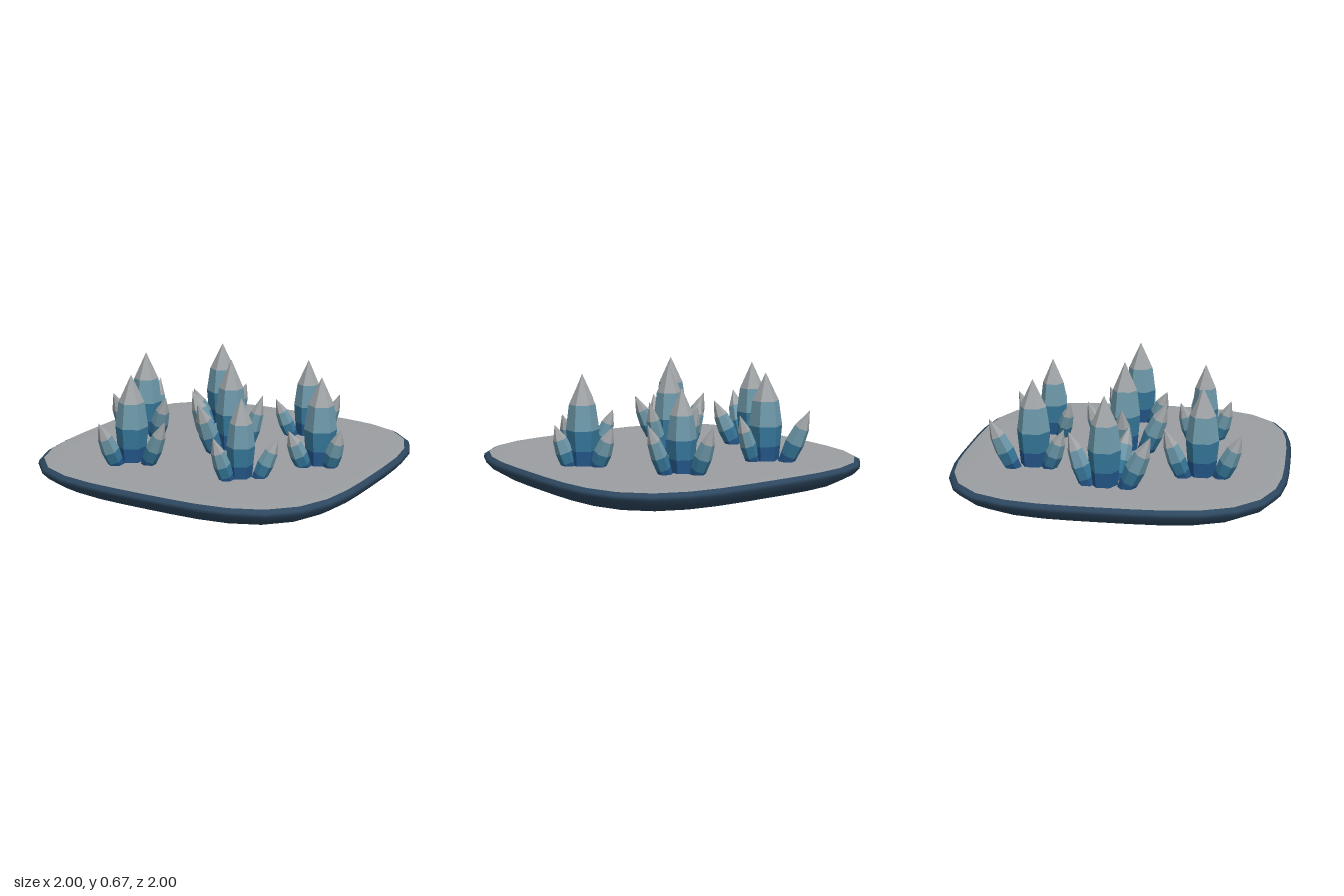
import * as THREE from 'three';
import { mergeVertices } from 'three/addons/utils/BufferGeometryUtils.js';

const v2 = (pts) => pts.map(([x, y]) => new THREE.Vector2(x, y));

// Turned profile pushed out to a rounded-square outline
function slabBand(name, profile, color) {
  let geo = new THREE.LatheGeometry(v2(profile), 36);
  const p = geo.attributes.position, n = 3.5;
  for (let i = 0; i < p.count; i++) {
    const x = p.getX(i), z = p.getZ(i), r = Math.hypot(x, z);
    if (r < 1e-6) continue;
    const k = 1 / Math.pow(Math.abs(x / r) ** n + Math.abs(z / r) ** n, 1 / n);
    p.setX(i, x * k);
    p.setZ(i, z * k);
  }
  geo.deleteAttribute('uv');
  geo.deleteAttribute('normal');
  geo = mergeVertices(geo);
  geo.computeVertexNormals();
  const mesh = new THREE.Mesh(geo, new THREE.MeshStandardMaterial({ color }));
  mesh.name = name;
  return mesh;
}

// Six-sided crystal of unit height and radius, in colour bands from root to tip
const bands = [
  ['crystalRoot', [[0.76, 0], [0.89, 0.24]], 0x24578a],
  ['crystalLowerShaft', [[0.89, 0.24], [1, 0.45]], 0x37799c],
  ['crystalUpperShaft', [[1, 0.45], [0.79, 0.71]], 0x6e9aab],
  ['crystalTip', [[0.79, 0.71], [0, 1]], 0xa2a6a8],
].map(([name, profile, color]) => ({
  name,
  geo: new THREE.LatheGeometry(v2(profile), 6),
  mat: new THREE.MeshStandardMaterial({ color, flatShading: true }),
}));

function crystal(name, root, tip, radius) {
  const g = new THREE.Group();
  g.name = name;
  for (const b of bands) {
    const m = new THREE.Mesh(b.geo, b.mat);
    m.name = b.name;
    g.add(m);
  }
  const axis = tip.clone().sub(root);
  g.scale.set(radius, axis.length(), radius);
  g.quaternion.setFromUnitVectors(new THREE.Vector3(0, 1, 0), axis.normalize());
  g.position.copy(root);
  return g;
}

// Clusters: centre x, z, height, radius; then side crystal tips x, z, height, radius
const clusters = [
  { main: [0.01, -0.01, 0.67, 0.094], sides: [[-0.25, 0.01, 0.45, 0.06], [-0.04, -0.23, 0.43, 0.056], [0.2, -0.07, 0.46, 0.05], [-0.06, 0.26, 0.45, 0.06]] },
  { main: [-0.34, -0.5, 0.64, 0.1], sides: [[-0.48, -0.73, 0.43, 0.058], [-0.15, -0.49, 0.4, 0.048], [-0.43, -0.3, 0.37, 0.052]] },
  { main: [0.28, -0.51, 0.6, 0.085], sides: [[0.22, -0.72, 0.4, 0.052], [0.51, -0.5, 0.41, 0.048], [0.13, -0.37, 0.36, 0.047]] },
  { main: [-0.62, -0.03, 0.64, 0.096], sides: [[-0.64, -0.23, 0.43, 0.055], [-0.4, 0.08, 0.4, 0.055], [-0.68, 0.24, 0.43, 0.06]] },
  { main: [0.62, 0, 0.64, 0.097], sides: [[0.54, -0.19, 0.36, 0.053], [0.78, 0.05, 0.36, 0.052], [0.51, 0.19, 0.35, 0.053]] },
  { main: [-0.37, 0.5, 0.64, 0.097], sides: [[-0.48, 0.29, 0.42, 0.055], [-0.11, 0.54, 0.4, 0.05], [-0.44, 0.73, 0.39, 0.055]] },
  { main: [0.34, 0.45, 0.585, 0.082], sides: [[0.21, 0.31, 0.37, 0.05], [0.54, 0.37, 0.36, 0.048], [0.26, 0.62, 0.38, 0.05]] },
];

export function createModel() {
  const model = new THREE.Group();
  model.name = 'crystalField';

  // Ground slab
  model.add(
    slabBand('slabUnderside', [[0, 0], [0.8, 0], [0.9, 0]], 0x16222f),
    slabBand('slabRim', [[0.9, 0], [0.965, 0.04], [1, 0.08], [0.995, 0.1], [0.97, 0.115]], 0x2d475f),
    slabBand('slabTop', [[0.97, 0.115], [0.93, 0.12], [0.85, 0.12], [0, 0.12]], 0x9b9ea1),
  );

  // Crystal clusters: one upright crystal with smaller ones leaning outward
  for (const { main, sides } of clusters) {
    const cluster = new THREE.Group();
    cluster.name = 'crystalCluster';
    const [cx, cz, height, radius] = main;
    cluster.add(crystal('mainCrystal', new THREE.Vector3(cx, 0.07, cz), new THREE.Vector3(cx + 0.005, height, cz), radius));
    for (const [x, z, h, r] of sides) {
      const root = new THREE.Vector3(cx + (x - cx) * 0.4, 0.07, cz + (z - cz) * 0.4);
      cluster.add(crystal('sideCrystal', root, new THREE.Vector3(x, h, z), r));
    }
    model.add(cluster);
  }
  return model;
}
